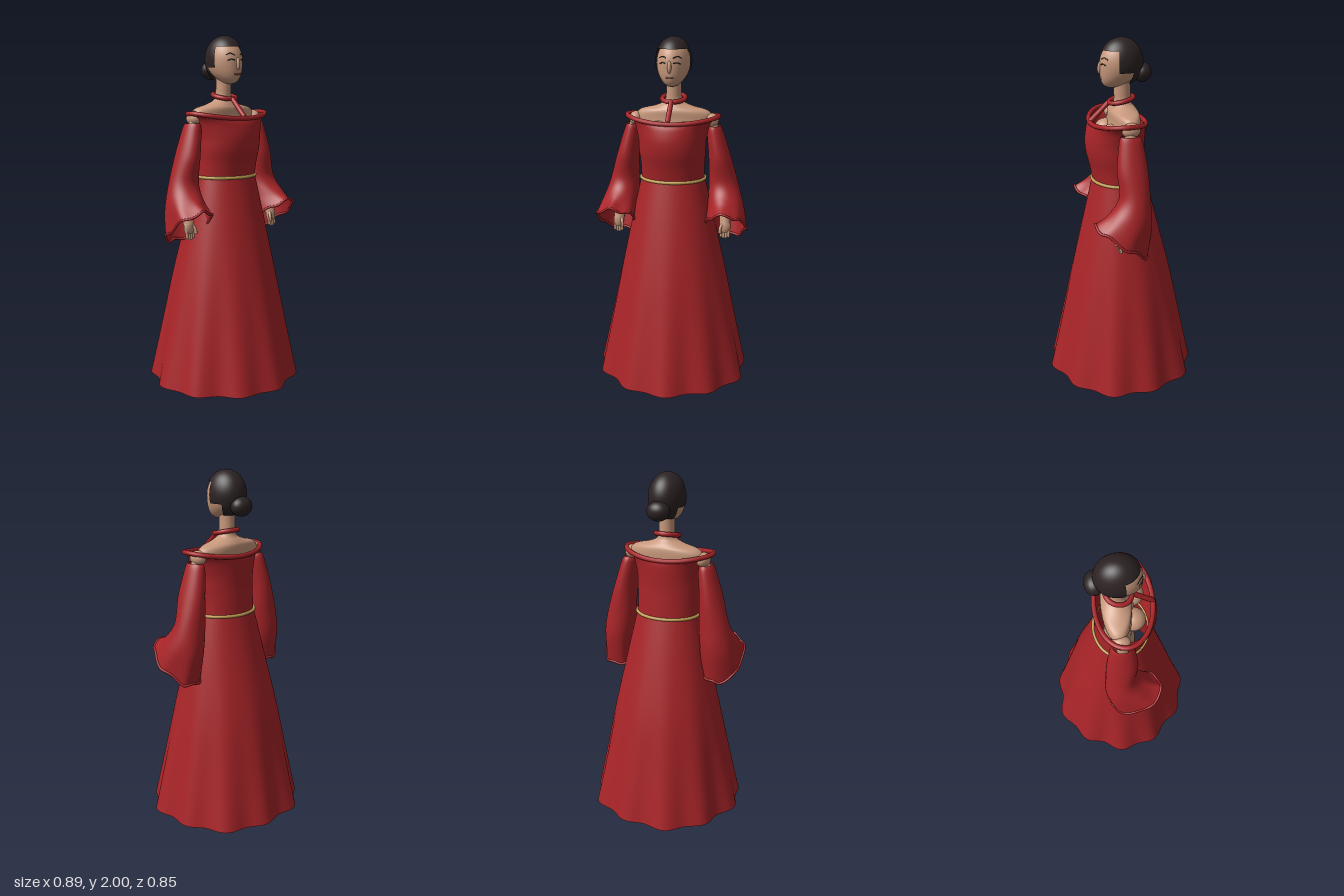
import * as THREE from 'three';

const mat = (name, color, side = THREE.FrontSide) => {
  const m = new THREE.MeshStandardMaterial({ color, side });
  m.name = name;
  return m;
};

// Smooth interpolation of a list of rows at u in 0..1
function sampleRow(rows, u) {
  const f = u * (rows.length - 1), i = Math.min(Math.floor(f), rows.length - 2), t = f - i;
  const a = rows[Math.max(i - 1, 0)], b = rows[i], c = rows[i + 1], d = rows[Math.min(i + 2, rows.length - 1)];
  return b.map((_, k) => {
    const cubic = 3 * (b[k] - c[k]) + d[k] - a[k];
    const square = 2 * a[k] - 5 * b[k] + 4 * c[k] - d[k];
    return b[k] + 0.5 * t * (c[k] - a[k] + t * (square + t * cubic));
  });
}

// Elliptical ring point; row = [y, radiusX, radiusZ, centreX, centreZ]
const ringPoint = ([y, rx, rz, cx, cz], a) =>
  new THREE.Vector3(cx + rx * Math.sin(a), y, cz + rz * Math.cos(a));

// Skin a surface through rows listed from top to bottom; adjust(point, angle, row) may move points
function loft(rows, seg = 48, steps = 28, adjust = () => {}) {
  const pos = [], idx = [];
  for (let j = 0; j <= steps; j++) {
    const row = sampleRow(rows, j / steps);
    for (let i = 0; i < seg; i++) {
      const a = (i / seg) * Math.PI * 2, p = ringPoint(row, a);
      adjust(p, a, row);
      pos.push(p.x, p.y, p.z);
      if (j < steps) {
        const a0 = j * seg + i, a1 = j * seg + (i + 1) % seg;
        idx.push(a0, a0 + seg, a1 + seg, a0, a1 + seg, a1);
      }
    }
  }
  const g = new THREE.BufferGeometry();
  g.setAttribute('position', new THREE.Float32BufferAttribute(pos, 3));
  g.setIndex(idx);
  g.computeVertexNormals();
  return g;
}

// Tube along points, open or closed
const tube = (pts, r, closed = false, n = 24) =>
  new THREE.TubeGeometry(new THREE.CatmullRomCurve3(pts, closed), n, r, 10, closed);

// Closed tube following a rule of the angle
const loopTube = (fn, r, n = 64) =>
  tube(Array.from({ length: n }, (_, i) => fn((i / n) * Math.PI * 2)), r, true, n * 2);

const V = (x, y, z) => new THREE.Vector3(x, y, z);

export function createModel() {
  const group = new THREE.Group();
  const red = mat('red cloth', 0xa82428, THREE.DoubleSide);
  const skin = mat('skin', 0xc8987c);
  const hair = mat('dark hair', 0x2c2223, THREE.DoubleSide);
  const gold = mat('gold', 0xc2a055);
  const lip = mat('lips', 0x9a5a4c);
  const add = (name, geo, m, p = [0, 0, 0], s = [1, 1, 1], parent = group) => {
    const mesh = new THREE.Mesh(geo, m);
    mesh.name = name;
    mesh.position.set(...p);
    mesh.scale.set(...s);
    parent.add(mesh);
    return mesh;
  };
  const ball = () => new THREE.SphereGeometry(1, 32, 24);

  // Skirt with folds growing toward the hem
  const skirtRows = [[1.225, 0.181, 0.15, 0, 0.01], [0.93, 0.248, 0.222, 0, 0.005],
    [0.64, 0.312, 0.292, 0, 0], [0.345, 0.372, 0.355, 0, 0], [0.05, 0.433, 0.418, 0, 0]];
  add('skirt', loft(skirtRows, 144, 40, (p, a, row) => {
    const t = (1.225 - row[0]) / 1.175;
    const k = 1 + t * t * (0.034 * Math.cos(11 * (a - 0.09)) + 0.018 * Math.cos(5 * a + 0.6));
    p.x *= k;
    p.z *= k;
  }), red);

  // Bodice flaring into an off-shoulder neckline that rises at the sides
  const bodiceRows = [[1.55, 0.255, 0.15, 0, 0.022], [1.515, 0.21, 0.16, 0, 0.028], [1.45, 0.19, 0.165, 0, 0.034],
    [1.38, 0.186, 0.162, 0, 0.032], [1.3, 0.18, 0.154, 0, 0.02], [1.215, 0.18, 0.148, 0, 0.01]];
  const raise = (p, a, row) => {
    p.y += 0.028 * Math.sin(a) ** 2 * THREE.MathUtils.smoothstep(row[0], 1.47, 1.55);
  };
  add('bodice', loft(bodiceRows, 64, 30, raise), red);
  add('necklineRoll', loopTube(a => {
    const p = ringPoint(bodiceRows[0], a);
    raise(p, a, bodiceRows[0]);
    return p;
  }, 0.013), red);
  add('belt', loopTube(a => ringPoint([1.225, 0.182, 0.152, 0, 0.01], a), 0.009), gold);

  // Collar ring and front strap
  add('collar', loopTube(a => V(0.063 * Math.sin(a), 1.668 - 0.014 * Math.cos(a), -0.002 + 0.066 * Math.cos(a)), 0.013), red);
  add('collarStrap', tube([V(0, 1.655, 0.068), V(0, 1.61, 0.115), V(0, 1.557, 0.17)], 0.014), red);

  // Torso, shoulders and neck
  add('torso', loft([[1.8, 0.044, 0.046, 0, -0.008], [1.72, 0.042, 0.045, 0, -0.008], [1.655, 0.05, 0.048, 0, -0.01],
    [1.625, 0.105, 0.066, 0, -0.014], [1.6, 0.195, 0.078, 0, -0.015], [1.55, 0.215, 0.08, 0, -0.015],
    [1.47, 0.158, 0.085, 0, -0.005], [1.35, 0.14, 0.08, 0, 0], [1.22, 0.13, 0.075, 0, 0],
    [1.05, 0.15, 0.09, 0, 0], [0.93, 0.13, 0.08, 0, 0], [0.88, 0.001, 0.001, 0, 0]], 48, 66), skin);

  for (const s of [1, -1]) {
    const side = new THREE.Group();
    side.name = s > 0 ? 'leftLimbs' : 'rightLimbs';
    group.add(side);
    const part = (name, geo, m, p, sc) => add(name, geo, m, p, sc, side);
    part('bust', ball(), skin, [s * 0.07, 1.49, 0.07], [0.062, 0.06, 0.063]);

    // Bell sleeve; the last number of each row tilts the ring up toward the front
    const sleeve = [[1.525, 0.032, 0.05, s * 0.232, 0.003, 0], [1.49, 0.045, 0.064, s * 0.235, 0, 0],
      [1.35, 0.062, 0.083, s * 0.263, -0.002, 0], [1.2, 0.083, 0.084, s * 0.286, -0.01, 0.05],
      [1.08, 0.1, 0.118, s * 0.305, 0.02, 0.3], [0.97, 0.112, 0.14, s * 0.315, 0.07, 0.7]];
    const drape = (p, a, row) => {
      const w = THREE.MathUtils.smoothstep(1.15 - row[0], 0, 0.18);
      p.y += row[5] * (p.z - row[4]) + 0.009 * w * Math.cos(6 * a + 0.5);
      p.x += s * 0.006 * w * Math.sin(5 * a);
    };
    part('sleeve', loft(sleeve, 64, 40, drape), red);
    part('cuffEdge', loopTube(a => {
      const p = ringPoint(sleeve[5], a);
      drape(p, a, sleeve[5]);
      return p;
    }, 0.007), red);

    // Arm and hand
    part('arm', tube([V(s * 0.21, 1.56, 0), V(s * 0.24, 1.45, 0), V(s * 0.28, 1.25, -0.01), V(s * 0.3, 1.12, 0.02),
      V(s * 0.308, 0.98, 0.06)], 0.031), skin);
    part('shoulder', ball(), skin, [s * 0.215, 1.55, -0.005], [0.037, 0.04, 0.05]);
    part('hand', ball(), skin, [s * 0.31, 0.965, 0.065], [0.031, 0.045, 0.022]);
    for (let i = 0; i < 4; i++) {
      const x = s * (0.289 + i * 0.014), tip = 0.897 + 0.006 * Math.abs(i - 1.5);
      part('finger', tube([V(x, 0.96, 0.066), V(x, 0.93, 0.073), V(x, tip, 0.076)], 0.008, false, 8), skin);
    }
    part('thumb', tube([V(s * 0.295, 0.985, 0.07), V(s * 0.284, 0.955, 0.088), V(s * 0.284, 0.93, 0.092)], 0.009, false, 8), skin);

    // Leg, foot and sandal sole
    part('leg', loft([[1.0, 0.06, 0.07, s * 0.085, 0], [0.7, 0.062, 0.065, s * 0.095, 0], [0.5, 0.048, 0.052, s * 0.1, -0.005],
      [0.35, 0.046, 0.053, s * 0.105, -0.02], [0.12, 0.03, 0.034, s * 0.112, -0.02], [0.03, 0.032, 0.04, s * 0.112, -0.02]], 28, 25), skin);
    const foot = part('foot', ball(), skin, [s * 0.112, 0.038, 0.06], [0.036, 0.03, 0.118]);
    foot.rotation.x = 0.08;
    part('sandalSole', new THREE.CylinderGeometry(1, 1, 0.012, 40), gold, [s * 0.113, 0.006, 0.07], [0.045, 1, 0.14]);
  }

  // Head with a narrower jaw and forward chin
  const head = ball();
  const hp = head.attributes.position;
  for (let i = 0; i < hp.count; i++) {
    const v = hp.getY(i), low = Math.max(0, -v);
    hp.setXYZ(i, hp.getX(i) * 0.091 * (1 - 0.1 * low * low), 1.86 + 0.125 * v, hp.getZ(i) * 0.115 + 0.05 * low * low);
  }
  head.computeVertexNormals();
  add('head', head, skin);

  // Point on the face surface
  const face = (x, y) => {
    const v = (y - 1.86) / 0.125, low = Math.max(0, -v);
    return V(x, y, 0.115 * Math.sqrt(Math.max(0, 1 - v * v - (x / 0.09) ** 2)) + 0.05 * low * low);
  };
  const line = (name, pts, m, r) => add(name, tube(pts.map(([x, y]) => face(x, y)), r, false, 16), m);
  for (const s of [1, -1]) {
    line('eyebrow', [[s * 0.018, 1.891], [s * 0.04, 1.9], [s * 0.06, 1.891]], hair, 0.0028);
    line('closedEye', [[s * 0.02, 1.864], [s * 0.038, 1.868], [s * 0.056, 1.861]], hair, 0.0028);
  }
  line('mouth', [[-0.022, 1.79], [0, 1.787], [0.022, 1.79]], lip, 0.0045);
  const nose = add('nose', ball(), skin, [0, 1.846, 0.114], [0.011, 0.034, 0.013]);
  nose.rotation.x = -0.12;

  // Hair in three shells: crown, sides and nape, then the bun
  const hairShell = (name, reach, top, bottom) => add(name,
    new THREE.SphereGeometry(1, 48, 16, Math.PI - reach, Math.PI + 2 * reach, top, bottom - top),
    hair, [0, 1.87, -0.003], [0.1, 0.13, 0.12]);
  hairShell('hairCrown', Math.PI / 2, 0, 1.03);
  hairShell('hairSides', 0.27, 1.03, 1.93);
  hairShell('hairNape', -0.45, 1.93, 2.55);
  add('hairBun', ball(), hair, [0, 1.812, -0.116], [0.064, 0.053, 0.052]);
  return group;
}
